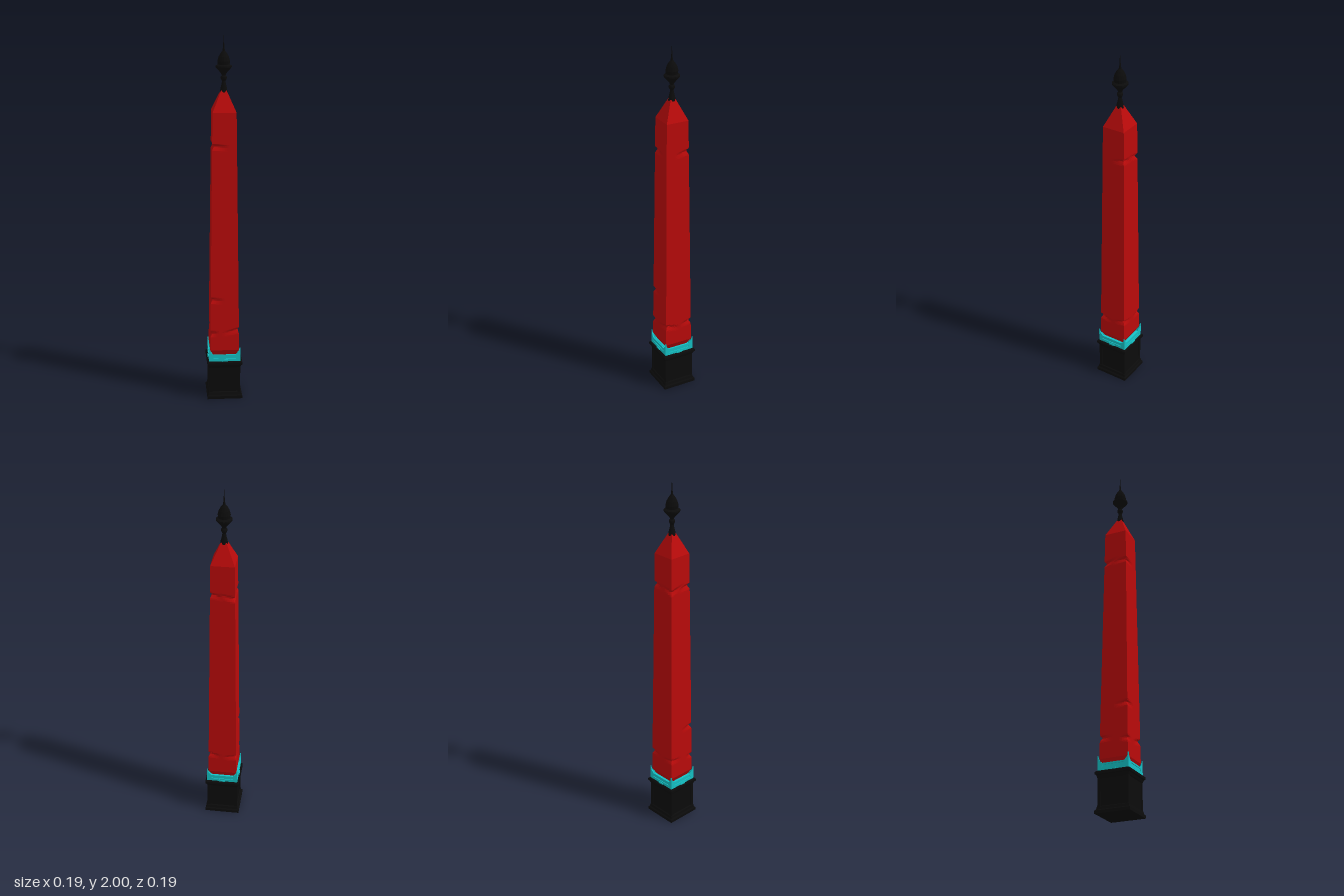
import * as THREE from 'three';

const paint = (color) => new THREE.MeshStandardMaterial({ color, flatShading: true });
const black = paint(0x0b0b0b), red = paint(0xb80a0a), teal = paint(0x14c0c4);

function add(parent, name, geometry, material) {
  const mesh = new THREE.Mesh(geometry, material);
  mesh.name = name;
  parent.add(mesh);
  return mesh;
}

// Square solid from a [half width, height] profile
function squareLathe(profile) {
  const pts = profile.map(([r, y]) => new THREE.Vector2(r * Math.SQRT2, y));
  return new THREE.LatheGeometry(pts, 4).rotateY(Math.PI / 4);
}

// Chips cut into the shaft's corners: x side, z side, height, length, slope
const chips = [
  [-1, 1, 1.43, 0.09, -0.1], [-1, -1, 1.42, 0.09, 0.25], [1, -1, 1.44, 0.08, -0.2],
  [-1, 1, 0.58, 0.07, -0.1], [1, 1, 0.405, 0.09, -0.25],
  [-1, -1, 0.4, 0.07, -0.1], [1, -1, 0.41, 0.07, -0.2], [-1, 1, 0.385, 0.04, 0],
];

function shaftGeometry() {
  // Rows are dense only where the chips are
  const rows = [0.25, 0.285, 1.605, 1.715];
  for (const [from, to] of [[0.35, 0.44], [0.55, 0.61], [1.39, 1.48]])
    for (let y = from; y <= to + 0.001; y += 0.0075) rows.push(y);
  rows.sort((a, b) => a - b);
  const halfWidth = (y) => {
    if (y < 0.285) return THREE.MathUtils.mapLinear(y, 0.25, 0.285, 0.062, 0.08);
    if (y < 1.605) return THREE.MathUtils.mapLinear(y, 0.285, 1.605, 0.08, 0.063);
    return THREE.MathUtils.mapLinear(y, 1.605, 1.715, 0.063, 0.014);
  };
  const n = rows.length - 1;
  const geometry = new THREE.BoxGeometry(2, 1, 2, 10, n, 10);
  const pos = geometry.attributes.position;
  for (let i = 0; i < pos.count; i++) {
    const u = pos.getX(i), v = pos.getZ(i);
    const y = rows[Math.round((pos.getY(i) + 0.5) * n)];
    const w = halfWidth(y);
    let cut = 0;
    for (const [sx, sz, h, length, slope] of chips) {
      const away = Math.max(Math.abs(u - sx), Math.abs(v - sz)) * w;
      const dy = y - h - slope * away;
      const depth = Math.max(0, 1 - Math.abs(dy) / (dy > 0 ? 0.012 : 0.022));
      cut = Math.max(cut, depth * Math.max(0, 1 - away / length));
    }
    const s = w - 0.012 * cut;
    pos.setXYZ(i, u * s, y, v * s);
  }
  geometry.computeVertexNormals();
  return geometry;
}

export function createModel() {
  const model = new THREE.Group();
  model.name = 'obelisk';

  // Plinth with flared foot and cornice
  add(model, 'plinth', squareLathe([
    [0, 0], [0.097, 0], [0.097, 0.016], [0.091, 0.022], [0.088, 0.036], [0.083, 0.04],
    [0.083, 0.182], [0.087, 0.186], [0.091, 0.198], [0.097, 0.203], [0.097, 0.216],
    [0.09, 0.222], [0, 0.222],
  ]), black);
  for (const x of [-1, 1]) for (const z of [-1, 1]) {
    const post = add(model, 'plinthCornerPost', new THREE.BoxGeometry(0.016, 0.15, 0.016), black);
    post.position.set(x * 0.078, 0.111, z * 0.078);
  }

  // Collar: four panels rising to points at the corners
  add(model, 'collarFloor', squareLathe([
    [0, 0.22], [0.086, 0.22], [0.086, 0.232], [0.07, 0.25], [0, 0.25],
  ]), teal);
  const outline = new THREE.Shape([
    [-0.087, 0.22], [0.087, 0.22], [0.087, 0.3], [0.076, 0.275], [0.062, 0.261],
    [-0.062, 0.261], [-0.076, 0.275], [-0.087, 0.3],
  ].map(([x, y]) => new THREE.Vector2(x, y)));
  const opening = new THREE.Path([
    [-0.064, 0.238], [-0.058, 0.252], [0.058, 0.252], [0.064, 0.238],
  ].map(([x, y]) => new THREE.Vector2(x, y)));
  outline.holes.push(opening);
  const panel = new THREE.ExtrudeGeometry(outline, { depth: 0.006, bevelEnabled: false });
  panel.translate(0, 0, 0.081);
  for (let i = 0; i < 4; i++) {
    const side = new THREE.Group();
    side.name = 'collarSide';
    side.rotation.y = i * Math.PI / 2;
    add(side, 'collarPanel', panel, teal);
    add(side, 'collarInset', new THREE.BoxGeometry(0.14, 0.018, 0.004), teal)
      .position.set(0, 0.245, 0.081);
    add(side, 'collarTab', new THREE.BoxGeometry(0.034, 0.014, 0.008), teal)
      .position.set(0, 0.224, 0.087);
    model.add(side);
  }

  // Tapered, chipped shaft with pyramid top
  add(model, 'shaft', shaftGeometry(), red);

  // Turned finial with needle
  const finial = [
    [0, 1.705], [0.019, 1.705], [0.018, 1.72], [0.012, 1.745], [0.009, 1.762], [0.016, 1.776],
    [0.016, 1.784], [0.01, 1.792], [0.014, 1.802], [0.024, 1.814], [0.042, 1.834],
    [0.042, 1.842], [0.031, 1.849], [0.033, 1.866], [0.027, 1.888], [0.017, 1.906],
    [0.007, 1.918], [0.004, 1.935], [0, 2],
  ];
  add(model, 'finial', new THREE.LatheGeometry(
    finial.map(([r, y]) => new THREE.Vector2(r, y)), 16), black);

  return model;
}
